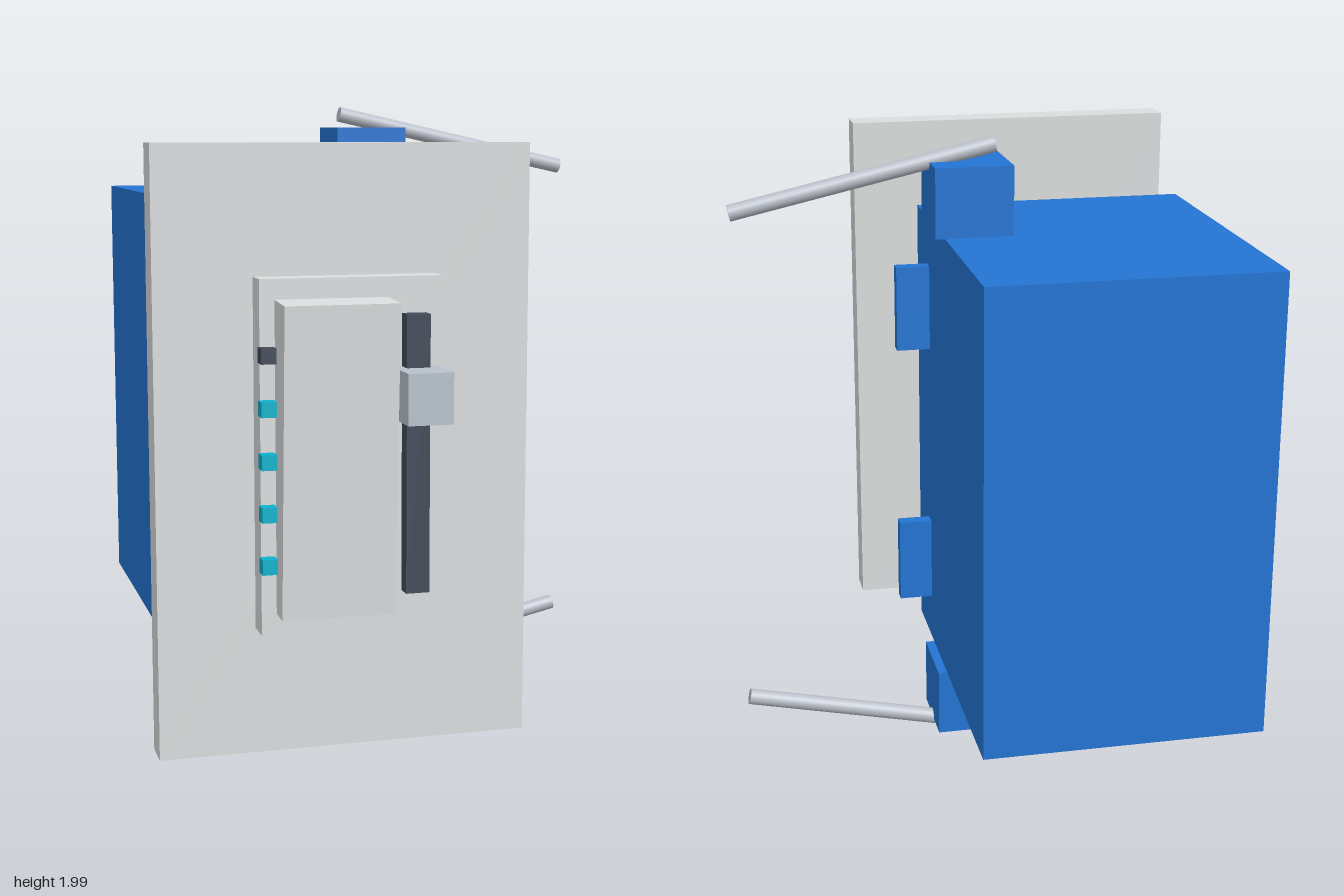
import * as THREE from 'three';

const mat = (name, color) => {
  const m = new THREE.MeshStandardMaterial({ color });
  m.name = name;
  return m;
};

export function createModel() {
  const blue = mat('blue plastic', 0x2474d2);
  const white = mat('plate grey', 0xdadcdd);
  const metal = mat('metal', 0xb9bec8);
  const slider = mat('slider grey', 0xb8c2cc);
  const dark = mat('dark slate', 0x434a5a);
  const teal = mat('teal light', 0x0cb2cc);

  const model = new THREE.Group();
  const add = (name, geometry, material, parent = model) => {
    const mesh = new THREE.Mesh(geometry, material);
    mesh.name = name;
    parent.add(mesh);
    return mesh;
  };
  // Box given by its limits on each axis
  const box = (name, material, [x0, x1], [y0, y1], [z0, z1], parent) => {
    const mesh = add(name, new THREE.BoxGeometry(x1 - x0, y1 - y0, z1 - z0), material, parent);
    mesh.position.set((x0 + x1) / 2, (y0 + y1) / 2, (z0 + z1) / 2);
    return mesh;
  };
  // Cylinder between two points
  const rod = (name, material, a, b, radius) => {
    const from = new THREE.Vector3(...a), to = new THREE.Vector3(...b);
    const dir = to.clone().sub(from);
    const mesh = add(name, new THREE.CylinderGeometry(radius, radius, dir.length(), 24), material);
    mesh.position.copy(from).add(to).multiplyScalar(0.5);
    mesh.quaternion.setFromUnitVectors(new THREE.Vector3(0, 1, 0), dir.normalize());
  };

  // Open-fronted wall box: an extruded rim plus a back panel
  const X0 = -0.69, X1 = 0.175, Y0 = 0.29, Y1 = 1.72, Z0 = -1, Z1 = 0.055, wall = 0.04;
  const rect = (Type, inset) => new Type([
    new THREE.Vector2(X0 + inset, Y0 + inset), new THREE.Vector2(X1 - inset, Y0 + inset),
    new THREE.Vector2(X1 - inset, Y1 - inset), new THREE.Vector2(X0 + inset, Y1 - inset),
  ]);
  const rim = rect(THREE.Shape, 0);
  rim.holes.push(rect(THREE.Path, wall));
  const shell = new THREE.ExtrudeGeometry(rim, { depth: Z1 - Z0 - wall, bevelEnabled: false });
  add('boxWalls', shell.translate(0, 0, Z0 + wall), blue);
  box('boxBack', blue, [X0, X1], [Y0, Y1], [Z0, Z0 + wall]);

  // Upper and lower fittings, mirrored about mid height
  const mid = 1.004;
  for (const s of [1, -1]) {
    const y = (d) => mid + s * d;
    const span = (a, b) => [Math.min(y(a), y(b)), Math.max(y(a), y(b))];
    const side = s > 0 ? 'upper' : 'lower';
    box(side + 'NailBlock', blue, [-0.035, 0.203], span(0.715, 0.928), [-0.43, -0.192]);
    rod(side + 'Nail', metal, [0, y(0.973), -0.31], [0.803, y(0.795), -0.31], 0.025);
    box(side + 'SideTab', blue, [0.17, 0.28], span(0.295, 0.565), [-0.157, -0.115]);
    rod(side + 'ScrewBoss', blue, [-0.257, y(0.61), -0.2], [-0.257, y(0.61), 0], 0.055);
    rod(side + 'Screw', metal, [-0.257, y(0.61), -0.04], [-0.257, y(0.61), 0.072], 0.03);
  }

  // Cover plate and dimmer switch
  box('coverPlate', white, [-0.815, 0.3], [0.117, 1.89], [0.638, 0.743]);
  const dimmer = new THREE.Group();
  dimmer.name = 'dimmerSwitch';
  model.add(dimmer);
  box('switchBase', white, [-0.528, 0.01], [0.493, 1.515], [0.743, 0.828], dimmer);

  // Rocker paddle, tipped out at the top
  const paddle = add('rockerPaddle', new THREE.BoxGeometry(0.332, 0.9, 0.13), white, dimmer);
  paddle.position.set(-0.318, 1.004, 0.862);
  paddle.rotation.x = 0.058;

  box('sliderTrack', dark, [-0.112, -0.042], [0.6, 1.41], [0.82, 0.877], dimmer);
  box('sliderKnob', slider, [-0.143, -0.01], [1.11, 1.257], [0.828, 0.995], dimmer);

  // Level lights, the top one unlit
  for (let i = 0; i < 5; i++) {
    const y = 0.704 + i * 0.15;
    box('levelLight' + (i + 1), i < 4 ? teal : dark,
      [-0.535, -0.491], [y - 0.022, y + 0.022], [0.836, 0.88], dimmer);
  }
  return model;
}
